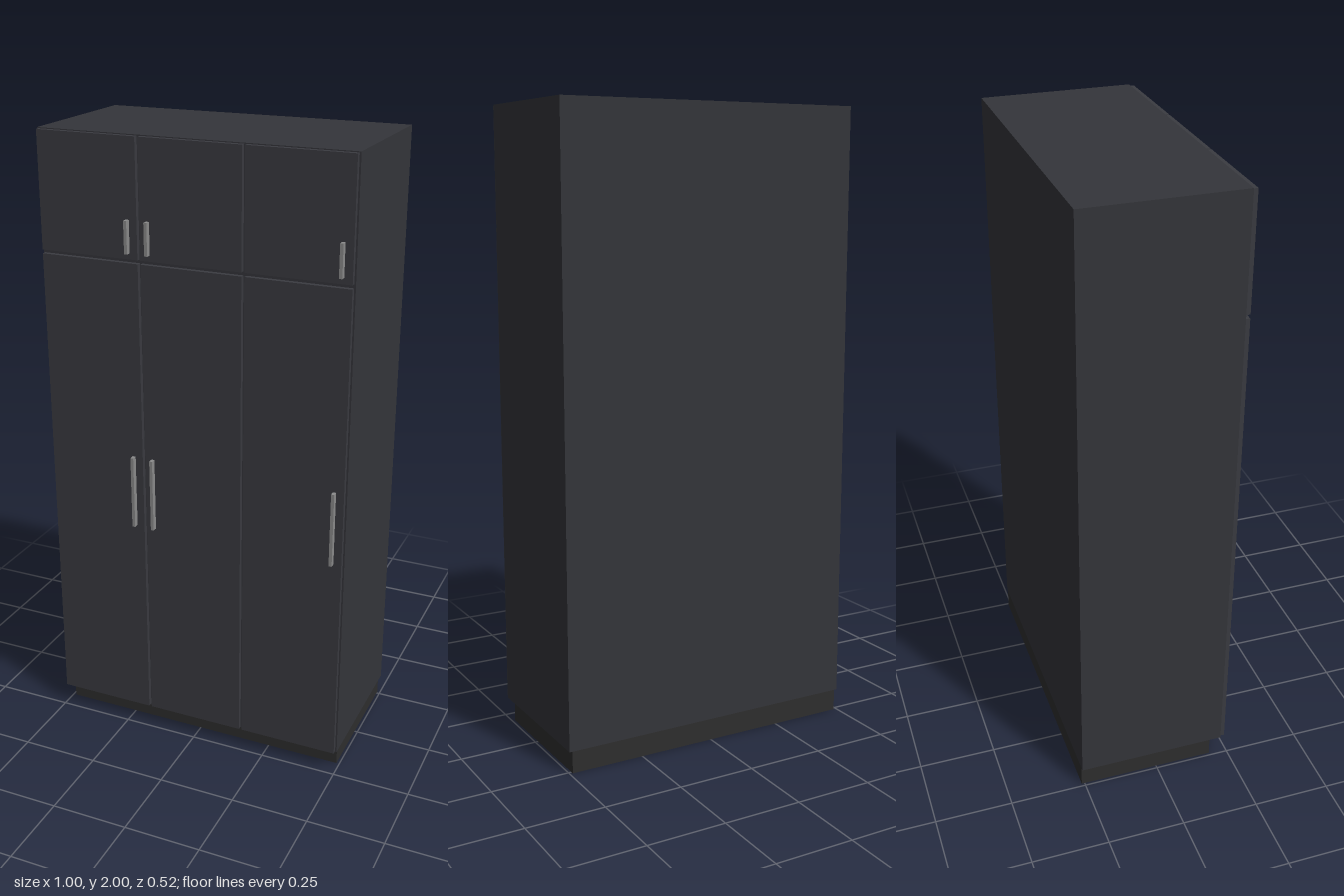
import * as THREE from 'three';

export function createModel() {
  const model = new THREE.Group();
  model.name = 'wardrobe';

  const paint = (color) => new THREE.MeshStandardMaterial({ color });
  const carcassPaint = paint(0x34353a);
  const doorPaint = paint(0x3a3b41);
  const plinthPaint = paint(0x2e2e2e);
  const handlePaint = paint(0x8c8c8c);

  // Box given by its extents along each axis
  function block(name, material, [x0, x1], [y0, y1], [z0, z1], parent = model) {
    const mesh = new THREE.Mesh(new THREE.BoxGeometry(x1 - x0, y1 - y0, z1 - z0), material);
    mesh.position.set((x0 + x1) / 2, (y0 + y1) / 2, (z0 + z1) / 2);
    mesh.name = name;
    parent.add(mesh);
    return mesh;
  }

  const back = -0.26, front = 0.225, base = 0.07, top = 2, t = 0.02;

  // Recessed plinth
  block('plinth', plinthPaint, [-0.49, 0.49], [0, base], [back, 0.19]);

  // Carcass panels
  const carcass = new THREE.Group();
  carcass.name = 'carcass';
  model.add(carcass);
  const panel = (name, x, y, z) => block(name, carcassPaint, x, y, z, carcass);
  panel('topPanel', [-0.5, 0.5], [top - t, top], [back, front]);
  panel('bottomPanel', [-0.5, 0.5], [base, base + t], [back, front]);
  panel('backPanel', [-0.5, 0.5], [base + t, top - t], [back, back + t]);
  panel('rightSide', [-0.5, -0.5 + t], [base + t, top - t], [back + t, front]);
  panel('leftSide', [0.5 - t, 0.5], [base + t, top - t], [back + t, front]);
  panel('shelf', [-0.5 + t, 0.5 - t], [1.62, 1.64], [back + t, front]);
  for (const x of [-0.1665, 0.1665]) {
    panel('lowerDivider', [x - t / 2, x + t / 2], [base + t, 1.62], [back + t, front]);
    panel('upperDivider', [x - t / 2, x + t / 2], [1.64, top - t], [back + t, front]);
  }

  // Three columns of doors, each with a tall lower and a short upper leaf
  const rows = [
    { name: 'lower', door: [0.073, 1.624], handle: [0.76, 1.0] },
    { name: 'upper', door: [1.636, 1.997], handle: [1.655, 1.755] },
  ];
  const columns = [
    { x: -0.333, handle: -0.201 },
    { x: 0, handle: -0.135 },
    { x: 0.333, handle: 0.465 },
  ];
  for (const row of rows) {
    for (const col of columns) {
      block(row.name + 'Door', doorPaint, [col.x - 0.162, col.x + 0.162], row.door, [front, 0.24]);
      block(row.name + 'Handle', handlePaint, [col.handle - 0.005, col.handle + 0.005], row.handle, [0.24, 0.257]);
    }
  }

  return model;
}
